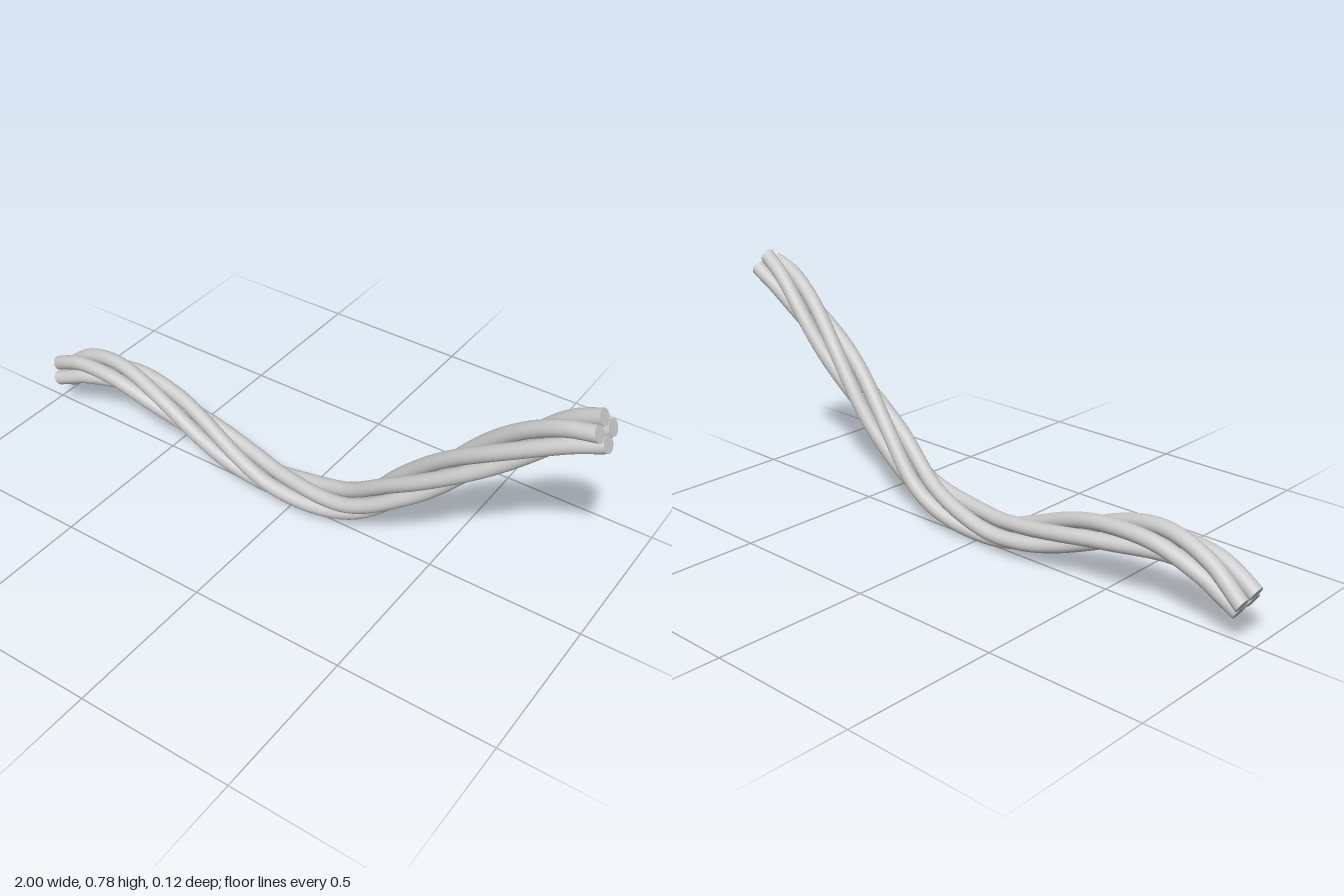
import * as THREE from 'three';

const STRANDS = 4;
const STRAND_RADIUS = 0.0245;
const TWIST_RADIUS = 0.036;
const START = THREE.MathUtils.degToRad(14);
const TWIST = THREE.MathUtils.degToRad(600);

// Centreline of the whole rope, lying in the plane z = 0
const centreline = new THREE.CatmullRomCurve3([
  [-0.968, 0.12], [-0.91, 0.156], [-0.85, 0.187], [-0.7, 0.216], [-0.5, 0.183],
  [-0.2, 0.085], [-0.05, 0.061], [0.2, 0.105], [0.4, 0.262], [0.6, 0.447],
  [0.8, 0.62], [0.89, 0.683], [0.975, 0.722],
].map(([x, y]) => new THREE.Vector3(x, y, 0)));
centreline.arcLengthDivisions = 600;

// Bend a capped cylinder into one strand winding around the centreline
function strandGeometry(phase) {
  const geometry = new THREE.CylinderGeometry(STRAND_RADIUS, STRAND_RADIUS, 1, 24, 160);
  const pos = geometry.attributes.position;
  const nor = geometry.attributes.normal;
  const slope = TWIST_RADIUS * TWIST / centreline.getLength();
  const v = new THREE.Vector3();
  const n = new THREE.Vector3();

  for (let i = 0; i < pos.count; i++) {
    const u = THREE.MathUtils.clamp(pos.getY(i) + 0.5, 0, 1);
    const angle = START + phase + TWIST * u;
    const c = Math.cos(angle), s = Math.sin(angle);
    const p = centreline.getPointAt(u);
    const t = centreline.getTangentAt(u);

    // Position: offset across the centreline (a) and along z (b)
    const a = TWIST_RADIUS * c + pos.getX(i);
    const b = TWIST_RADIUS * s - pos.getZ(i);
    v.set(p.x - t.y * a, p.y + t.x * a, b);
    pos.setXYZ(i, v.x, v.y, v.z);

    // Normal: same frame, tilted to follow the winding
    const na = nor.getX(i), nb = -nor.getZ(i);
    const along = nor.getY(i) - slope * (nb * c - na * s);
    n.set(t.x * along - t.y * na, t.y * along + t.x * na, nb).normalize();
    nor.setXYZ(i, n.x, n.y, n.z);
  }
  return geometry;
}

export function createModel() {
  const rope = new THREE.Group();
  rope.name = 'twistedRope';
  const material = new THREE.MeshStandardMaterial({ color: 0xcccccc });
  for (let i = 0; i < STRANDS; i++) {
    const strand = new THREE.Mesh(strandGeometry(i * 2 * Math.PI / STRANDS), material);
    strand.name = `strand${i + 1}`;
    rope.add(strand);
  }
  return rope;
}
